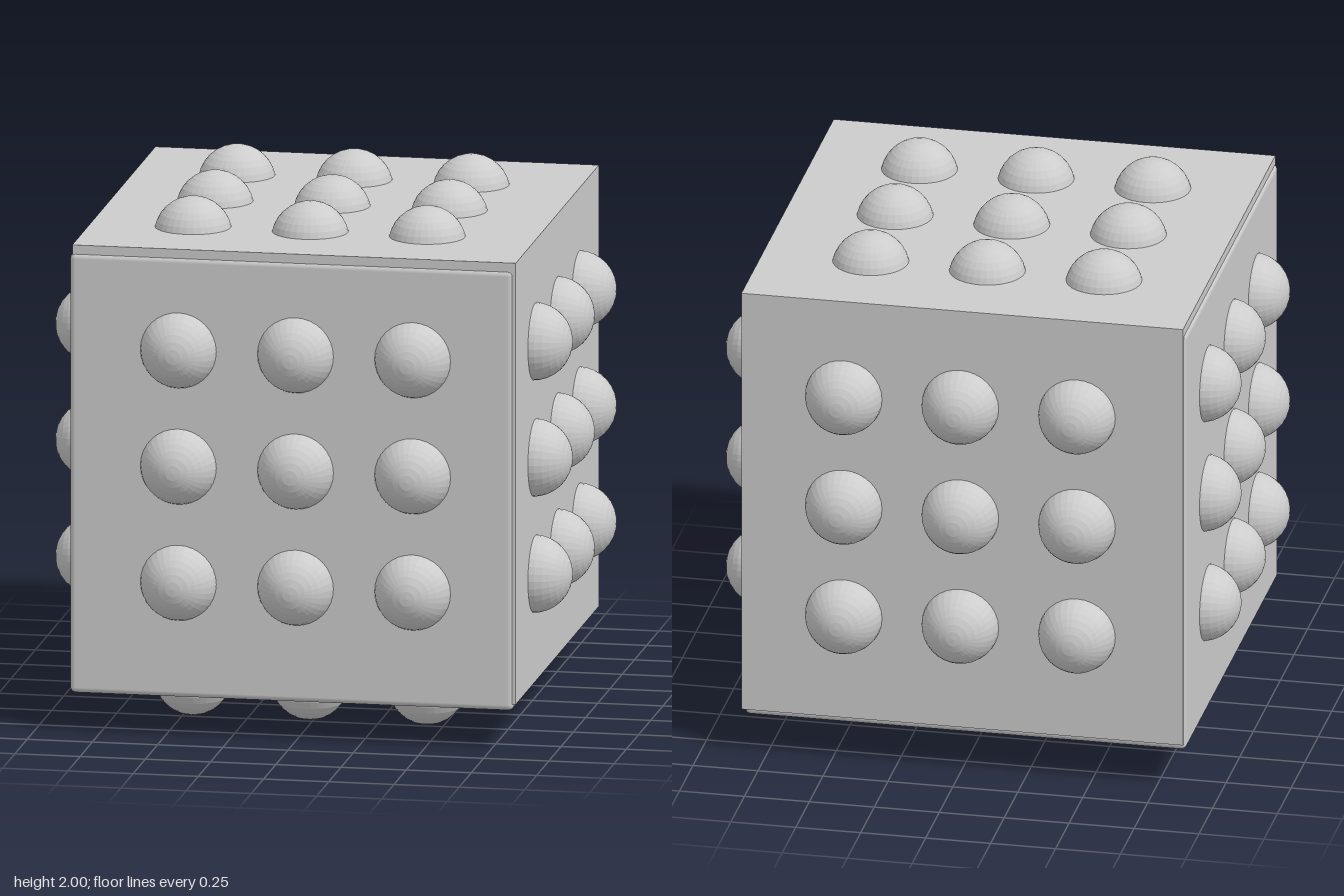
import * as THREE from 'three';
import { RoundedBoxGeometry } from 'three/addons/geometries/RoundedBoxGeometry.js';

export function createModel() {
  const model = new THREE.Group();
  model.name = 'studdedCube';
  const grey = new THREE.MeshStandardMaterial({ color: 0xcccccc });
  grey.name = 'plain grey';
  const studGrey = grey.clone(); // same colour, faceted finish
  studGrey.flatShading = true;

  const add = (name, geometry, material, x, y, z, parent = model) => {
    const mesh = new THREE.Mesh(geometry, material);
    mesh.name = name;
    mesh.position.set(x, y, z);
    parent.add(mesh);
    return mesh;
  };

  // Sharp block and a slightly offset round-edged block showing at its lower edges
  const size = 1.7;
  add('sharpBlock', new THREE.BoxGeometry(size, 1.705, size), grey, -0.004, 1.032, 0.005);
  add('roundedBlock', new RoundedBoxGeometry(size, size, size, 4, 0.022), grey, -0.013, 1.004, 0.013);

  // A 3 x 3 grid of studs on each side, with poles along the face normal
  const stud = new THREE.SphereGeometry(0.148, 32, 16);
  const step = 0.449;
  const faces = [
    { name: 'front', at: [0.003, 1.046, 0.838], axis: 'z' },
    { name: 'back', at: [0.003, 1.046, -0.838], axis: 'z' },
    { name: 'left', at: [0.84, 1.046, 0.01], axis: 'x' },
    { name: 'right', at: [-0.843, 1.046, 0.01], axis: 'x' },
    { name: 'top', at: [-0.016, 1.852, 0.01], axis: 'y' },
    { name: 'bottom', at: [-0.016, 0.148, 0.01], axis: 'y' },
  ];
  for (const { name, at, axis } of faces) {
    const group = new THREE.Group();
    group.name = name + 'Studs';
    group.position.set(...at);
    if (axis === 'z') group.rotation.x = Math.PI / 2;
    if (axis === 'x') group.rotation.z = Math.PI / 2;
    for (let i = -1; i <= 1; i++) {
      for (let j = -1; j <= 1; j++) add('stud', stud, studGrey, i * step, 0, j * step, group);
    }
    model.add(group);
  }
  return model;
}
